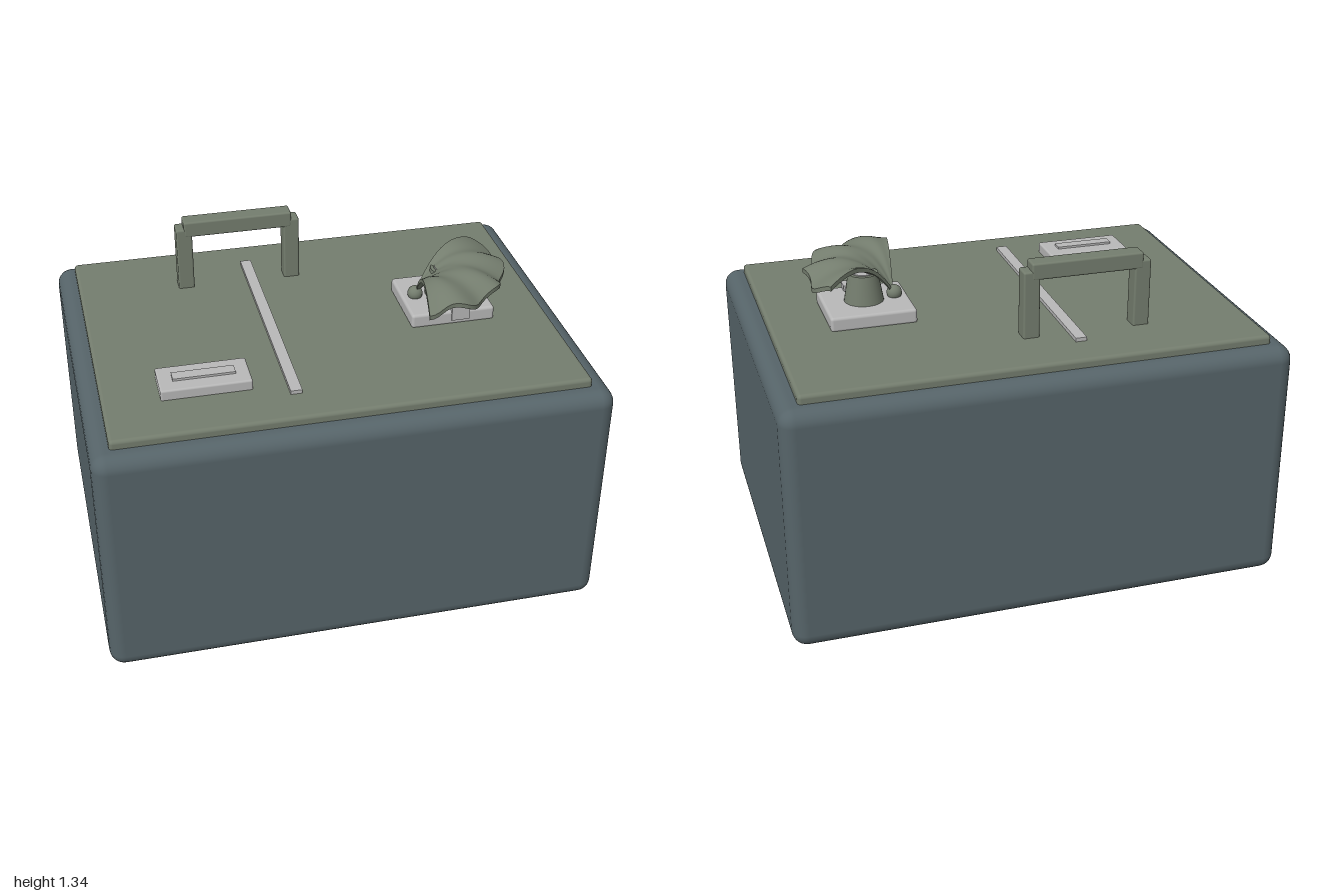
import * as THREE from 'three';
import { RoundedBoxGeometry } from 'three/addons/geometries/RoundedBoxGeometry.js';

const mat = (name, color) => {
  const m = new THREE.MeshStandardMaterial({ color });
  m.name = name;
  return m;
};

// Wavy fan petal: a box warped into a sector that rises from its apex and droops at the rim
function fanGeometry() {
  const geo = new THREE.BoxGeometry(1, 1, 1, 40, 1, 16);
  const p = geo.attributes.position;
  const apex = new THREE.Vector3(0.41, 1.1, 0);
  const start = -0.57, end = 1.71, thickness = 0.018;
  for (let i = 0; i < p.count; i++) {
    const u = p.getX(i) + 0.5;
    const s = Math.max(p.getZ(i) + 0.5, 0.02);
    const a = end + (start - end) * u;
    const wave = Math.cos(u * Math.PI * 7);
    const r = s * (0.345 + 0.01 * Math.cos(u * Math.PI * 9));
    const rise = 0.15 * Math.sin(Math.PI * 0.75 * Math.pow(s, 0.8)) - 0.016 * s * s * wave;
    p.setXYZ(i,
      apex.x + r * Math.cos(a),
      apex.y + rise + p.getY(i) * thickness,
      apex.z + r * Math.sin(a));
  }
  geo.computeVertexNormals();
  return geo;
}

export function createModel() {
  const group = new THREE.Group();
  const slate = mat('slate', 0x566469);
  const olive = mat('olive', 0x747d6e);
  const grey = mat('lightGrey', 0xb8b8b8);

  const add = (name, geo, material, x = 0, y = 0, z = 0) => {
    const mesh = new THREE.Mesh(geo, material);
    mesh.name = name;
    mesh.position.set(x, y, z);
    group.add(mesh);
    return mesh;
  };

  // Box spanning min..max on each axis, with optional rounded edges
  const block = (name, material, [x0, x1], [y0, y1], [z0, z1], radius = 0) => {
    const size = [x1 - x0, y1 - y0, z1 - z0];
    const geo = radius ? new RoundedBoxGeometry(...size, 3, radius) : new THREE.BoxGeometry(...size);
    return add(name, geo, material, (x0 + x1) / 2, (y0 + y1) / 2, (z0 + z1) / 2);
  };

  // Case and lid
  block('body', slate, [-1, 1], [0, 1], [-0.75, 0.75], 0.06);
  block('lid', olive, [-0.925, 0.92], [0.985, 1.035], [-0.68, 0.675], 0.015);

  // Carrying handle
  for (const x of [-0.48, -0.03]) {
    block('handlePost', olive, [x - 0.033, x + 0.033], [1.02, 1.305], [-0.437, -0.367], 0.008);
  }
  block('handleBar', olive, [-0.48, -0.03], [1.27, 1.337], [-0.438, -0.366], 0.008);

  // Rail and latch
  block('rail', grey, [-0.225, -0.18], [1.03, 1.05], [-0.52, 0.52]);
  block('latchPlate', grey, [-0.705, -0.355], [1.03, 1.077], [0.287, 0.455], 0.008);
  block('latchRidge', grey, [-0.65, -0.41], [1.06, 1.086], [0.347, 0.395]);

  // Fan mount
  block('fanBase', grey, [0.35, 0.695], [1.03, 1.09], [-0.16, 0.16], 0.012);
  block('fanStop', grey, [0.515, 0.59], [1.05, 1.112], [0.105, 0.165]);
  add('fanStem', new THREE.CylinderGeometry(0.06, 0.08, 0.12, 32), olive, 0.53, 1.145, 0);
  add('stemCap', new THREE.CylinderGeometry(0.045, 0.045, 0.006, 32), grey, 0.53, 1.206, 0);
  add('fanKnob', new THREE.SphereGeometry(0.031, 20, 14), olive, 0.405, 1.105, 0.005);

  // Fan
  add('fan', fanGeometry(), olive);

  return group;
}
